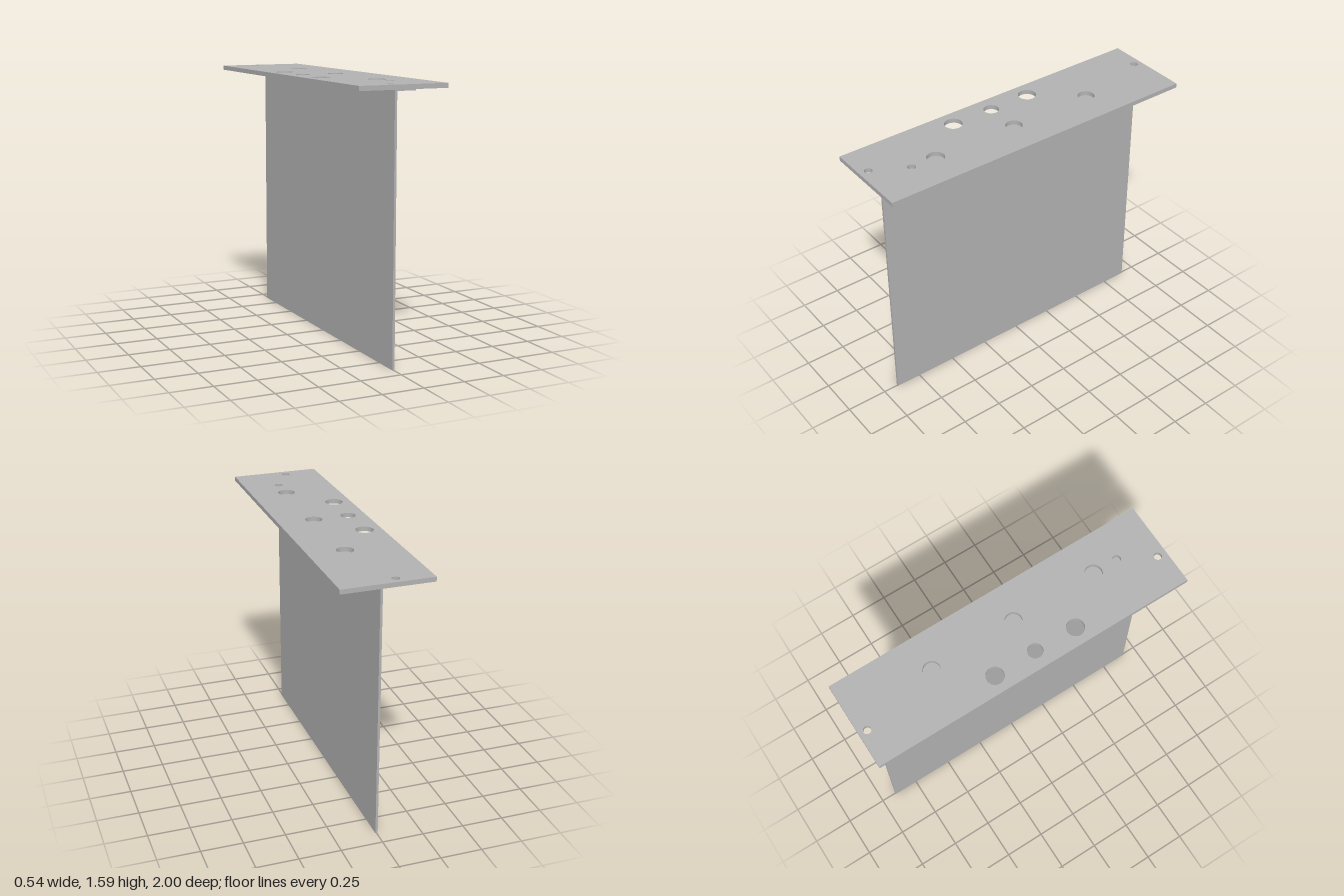
import * as THREE from 'three';

export function createModel() {
  const group = new THREE.Group();
  const grey = new THREE.MeshStandardMaterial({ color: 0xb2b2b2 });
  grey.name = 'grey';

  const top = 1.59, plateBottom = 1.563, flangeBottom = 1.548;
  const add = (geometry, name) => {
    const mesh = new THREE.Mesh(geometry, grey);
    mesh.name = name;
    group.add(mesh);
  };
  // Box given by its limits on each axis
  const slab = (name, x0, x1, y0, y1, z0, z1) => add(
    new THREE.BoxGeometry(x1 - x0, y1 - y0, z1 - z0)
      .translate((x0 + x1) / 2, (y0 + y1) / 2, (z0 + z1) / 2), name);

  // Top plate with drilled holes: x, z, radius
  const holes = [
    [-0.058, -0.95, 0.023], [-0.058, 0.945, 0.023],
    [-0.167, -0.21, 0.053], [-0.163, 0.053, 0.045], [-0.167, 0.315, 0.053],
    [0.05, -0.48, 0.05], [0.052, 0.05, 0.05], [0.052, 0.583, 0.052],
    [0.053, 0.74, 0.025],
  ];
  const w = 0.268;
  const outline = new THREE.Shape([[-w, -1], [w, -1], [w, 1], [-w, 1]]
    .map(([x, z]) => new THREE.Vector2(x, z)));
  for (const [x, z, r] of holes) {
    outline.holes.push(new THREE.Path().absarc(x, z, r, 0, Math.PI * 2, true));
  }
  add(new THREE.ExtrudeGeometry(outline, {
    depth: top - plateBottom, bevelEnabled: false, curveSegments: 32,
  }).rotateX(Math.PI / 2).translate(0, top, 0), 'topPlate');

  // Hanging sheet and the flange folded from its upper edge
  slab('verticalSheet', -0.007, 0.007, 0, plateBottom, -0.905, 0.908);
  slab('flange', 0.007, 0.12, flangeBottom, plateBottom, -0.905, 0.908);

  return group;
}
